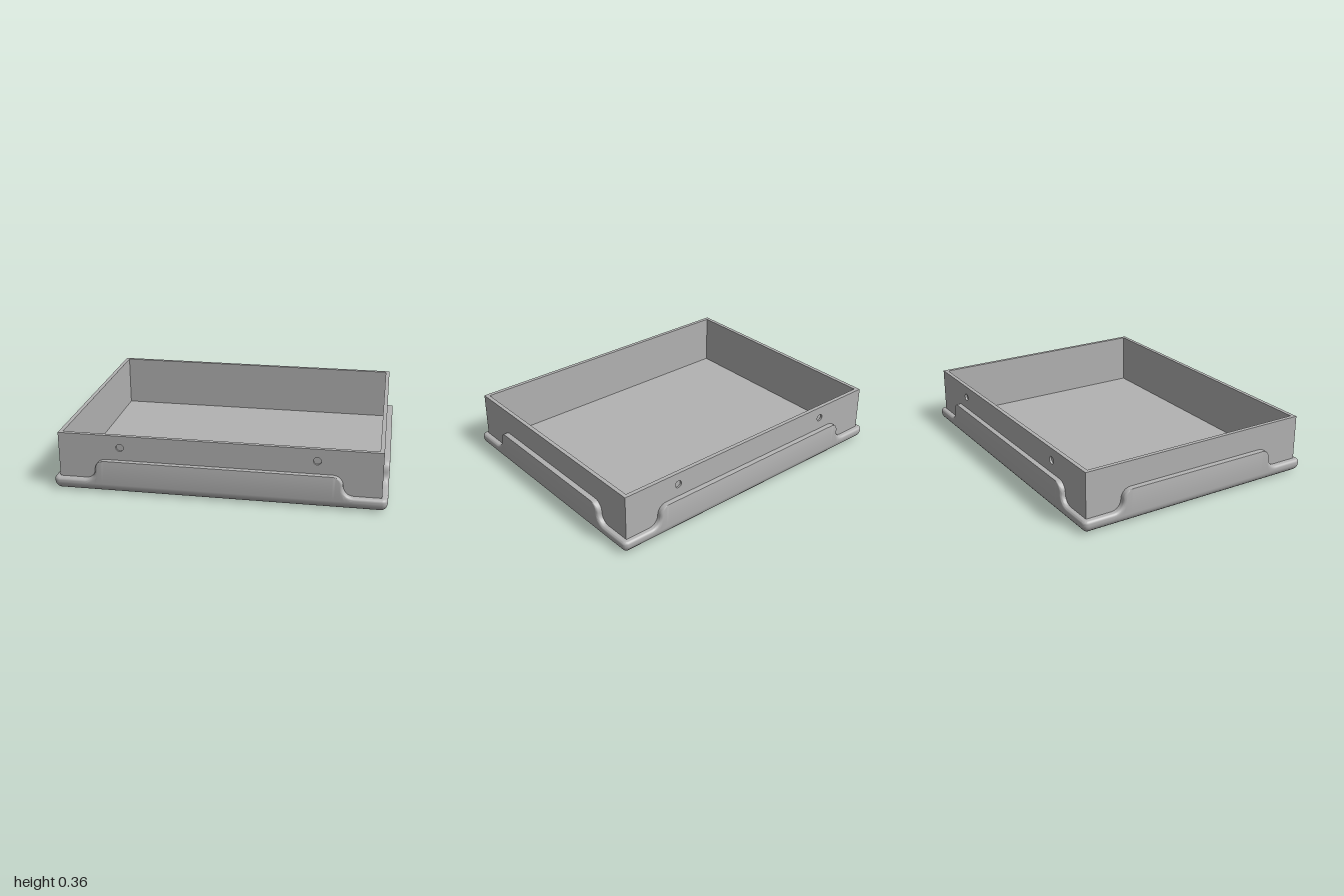
import * as THREE from 'three';
import { toCreasedNormals } from 'three/addons/utils/BufferGeometryUtils.js';

const HX = 1, HZ = 0.782;            // skirt half sizes
const WX = 0.965, WZ = 0.75;         // wall half sizes
const CORNER = 0.034, LOW = 0.08, HIGH = 0.205;
const S = 0.0625, BOTTOM = 0.055, LIP = 0.02, STEPS = 8;

// Upper outline of one side, left to right: low ledge, S-curve, raised panel, mirrored.
// Each point: s along the side, height h, outline normal (ns, nh), lip rounding r.
function sideOutline(length, s0) {
  const half = [{ s: -length, h: LOW, ns: 0, nh: 1, r: LIP }];
  for (let i = 0; i <= STEPS; i++) {
    const a = -Math.PI / 2 + (i / STEPS) * Math.PI / 2;
    const c = Math.cos(a), n = Math.sin(a);
    half.push({ s: -s0 - S + S * c, h: LOW + S + S * n, ns: -c, nh: -n, r: LIP });
  }
  for (let i = 1; i <= STEPS; i++) {
    const a = Math.PI - (i / STEPS) * Math.PI / 2;
    const c = Math.cos(a), n = Math.sin(a);
    half.push({ s: -s0 + S + S * c, h: HIGH - S + S * n, ns: c, nh: n, r: LIP * (1 - i / STEPS) });
  }
  const mirrored = half.map(p => ({ ...p, s: -p.s, ns: -p.ns })).reverse();
  return [...half, ...mirrored];
}

// Skirt: cross-sections swept once round the tray.
function skirtGeometry() {
  const columns = [];
  for (let k = 0; k < 4; k++) {
    const [A, B, s0] = k % 2 ? [HZ, HX, 0.525] : [HX, HZ, 0.74];
    const st = Math.sin(k * Math.PI / 2), ct = Math.cos(k * Math.PI / 2);
    const points = sideOutline(A - CORNER, s0).map(p => ({ ...p, phi: 0 }));
    for (let i = 1; i < 6; i++) {
      points.push({ s: A - CORNER, h: LOW, ns: 0, nh: 1, r: LIP, phi: i / 6 * Math.PI / 2 });
    }
    for (const p of points) {
      const column = [];
      const place = (s, y, d) => {
        const inset = Math.max(d, CORNER), rad = Math.max(CORNER - d, 0);
        const limit = A - inset;
        const along = Math.max(-limit, Math.min(limit, s)) + rad * Math.sin(p.phi);
        const out = B - inset + rad * Math.cos(p.phi);
        column.push([along * ct + out * st, y, -along * st + out * ct]);
      };
      for (let i = 0; i <= 6; i++) {
        const b = (1 - i / 6) * Math.PI / 2;
        place(p.s, BOTTOM * (1 - Math.sin(b)), BOTTOM * (1 - Math.cos(b)));
      }
      for (let i = 0; i <= 5; i++) {
        const a = i / 5 * Math.PI / 2, inset = p.r * (1 - Math.sin(a));
        place(p.s - p.ns * inset, p.h - p.nh * inset, p.r * (1 - Math.cos(a)));
      }
      place(p.s, p.h, 0.035);
      columns.push(column);
    }
  }
  const rows = columns[0].length, index = [];
  columns.forEach((_, j) => {
    const n = (j + 1) % columns.length;
    for (let i = 0; i < rows - 1; i++) {
      const a = j * rows + i, b = n * rows + i;
      index.push(a, b, b + 1, a, b + 1, a + 1);
    }
  });
  const g = new THREE.BufferGeometry();
  g.setAttribute('position', new THREE.Float32BufferAttribute(columns.flat(2), 3));
  g.setIndex(index);
  return toCreasedNormals(g, 0.6);
}

// Long wall face with two blind round holes.
function holedPlate(y0, y1, depth) {
  const shape = new THREE.Shape();
  shape.moveTo(-WX, y0).lineTo(WX, y0).lineTo(WX, y1).lineTo(-WX, y1).closePath();
  for (const x of [-0.587, 0.587]) {
    shape.holes.push(new THREE.Path().absarc(x, 0.285, 0.023, 0, Math.PI * 2, true));
  }
  const g = new THREE.ExtrudeGeometry(shape, { depth, bevelEnabled: false, curveSegments: 16 });
  return toCreasedNormals(g, 0.6);
}

export function createModel() {
  const model = new THREE.Group();
  model.name = 'tray';
  const grey = new THREE.MeshStandardMaterial({ color: 0xb3b3b3 });
  grey.name = 'grey';
  const add = (name, geometry, x = 0, y = 0, z = 0, parent = model) => {
    const mesh = new THREE.Mesh(geometry, grey);
    mesh.name = name;
    mesh.position.set(x, y, z);
    parent.add(mesh);
    return mesh;
  };

  add('skirt', skirtGeometry());

  // Underside and floor
  const under = new THREE.PlaneGeometry(2 * (HX - BOTTOM), 2 * (HZ - BOTTOM));
  add('underside', under.rotateX(Math.PI / 2));
  add('floor', new THREE.BoxGeometry(1.9, 0.02, 1.46), 0, 0.02, 0);

  // Walls
  const y0 = 0.02, y1 = 0.36, height = y1 - y0, mid = (y0 + y1) / 2;
  const plate = 0.012, thick = 0.025;
  for (const side of [1, -1]) {
    const wall = new THREE.Group();
    wall.name = side > 0 ? 'frontWall' : 'backWall';
    if (side < 0) wall.rotation.y = Math.PI;
    add('outerFace', holedPlate(y0, y1, plate), 0, 0, WZ - plate, wall);
    add('innerFace', new THREE.BoxGeometry(2 * (WX - thick), height, thick - plate),
      0, mid, WZ - plate - (thick - plate) / 2, wall);
    model.add(wall);
    add(side > 0 ? 'leftWall' : 'rightWall',
      new THREE.BoxGeometry(thick, height, 2 * (WZ - plate)), side * (WX - thick / 2), mid, 0);
  }
  return model;
}
